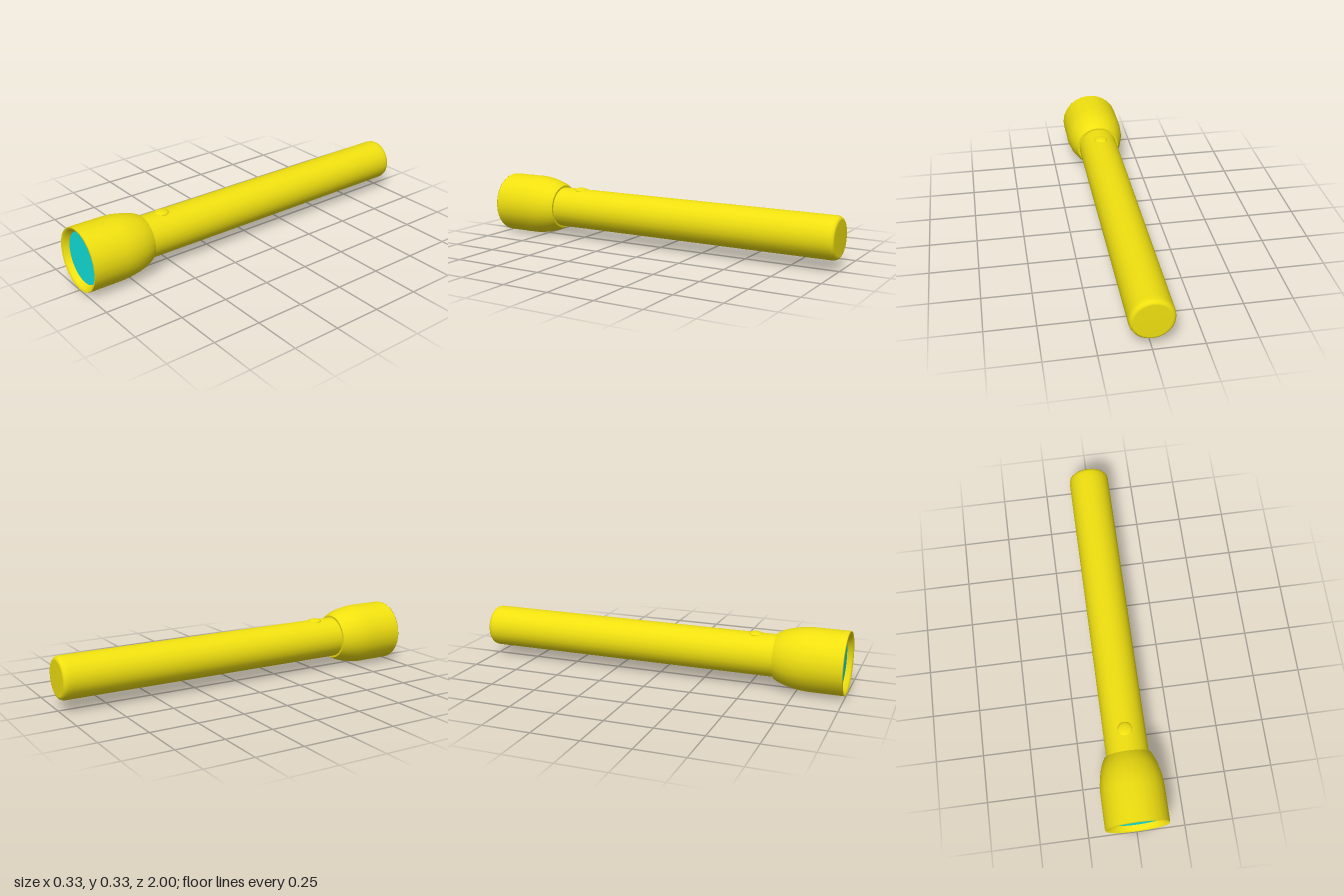
import * as THREE from 'three';

const AXIS_Y = 0.165;
const SIDES = 24;

// Smooth turned part along z from [radius, z] pairs, listed back to front
function turned(name, profile, material) {
  const points = profile.map(([r, z]) => new THREE.Vector2(r, z));
  const geometry = new THREE.LatheGeometry(points, SIDES);
  geometry.rotateX(Math.PI / 2);
  const mesh = new THREE.Mesh(geometry, material);
  mesh.name = name;
  mesh.position.y = AXIS_Y;
  return mesh;
}

export function createModel() {
  const group = new THREE.Group();
  group.name = 'flashlight';
  const yellow = new THREE.MeshStandardMaterial({ color: 0xf0e010, side: THREE.DoubleSide });
  const cyan = new THREE.MeshStandardMaterial({ color: 0x10e0d8 });

  // Long handle with a rounded tail
  group.add(turned('handle', [
    [0, -1], [0.09, -1], [0.098, -0.998], [0.106, -0.99], [0.11, -0.976],
    [0.11, -0.95], [0.11, 0.64],
  ], yellow));

  // Flat shoulder closing the back of the head
  group.add(turned('headShoulder', [[0.1, 0.636], [0.121, 0.636]], yellow));

  // Bell-shaped head, its rim sloping in to the lens
  group.add(turned('head', [
    [0.121, 0.636], [0.134, 0.66], [0.145, 0.69], [0.154, 0.725], [0.161, 0.765],
    [0.164, 0.81], [0.164, 0.9], [0.164, 0.995], [0.162, 1],
    [0.15, 0.992], [0.134, 0.968],
  ], yellow));

  // Lens disc
  const lens = new THREE.Mesh(new THREE.CircleGeometry(0.135, SIDES), cyan);
  lens.name = 'lens';
  lens.rotation.z = Math.PI / 2;
  lens.position.set(0, AXIS_Y, 0.969);
  group.add(lens);

  // Domed switch button on top
  const button = new THREE.Mesh(new THREE.SphereGeometry(0.037, 24, 16), yellow);
  button.name = 'switchButton';
  button.scale.y = 0.35;
  button.position.set(0, AXIS_Y + 0.105, 0.52);
  group.add(button);

  return group;
}
